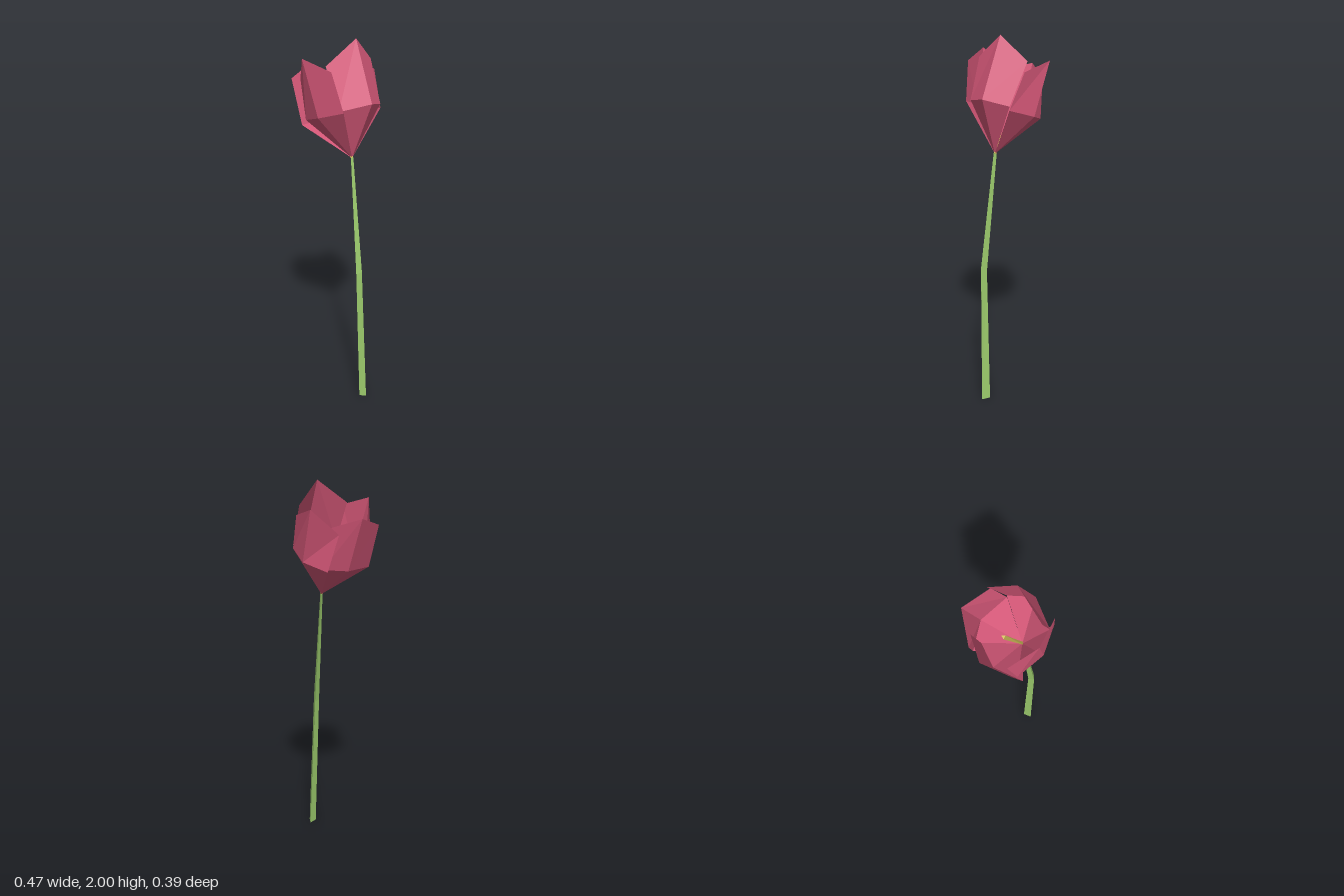
import * as THREE from 'three';

// Flat-shaded geometry from a list of polygons, each fanned into triangles
function facets(polygons) {
  const pos = [];
  for (const p of polygons) {
    for (let i = 1; i < p.length - 1; i++) pos.push(...p[0], ...p[i], ...p[i + 1]);
  }
  const g = new THREE.BufferGeometry();
  g.setAttribute('position', new THREE.Float32BufferAttribute(pos, 3));
  g.computeVertexNormals();
  return g;
}

// Three-sided rod lofted through triangular sections, capped at both ends
function triangularRod(sections) {
  const polygons = [[...sections[0]].reverse(), sections[sections.length - 1]];
  for (let s = 0; s < sections.length - 1; s++) {
    const lo = sections[s], hi = sections[s + 1];
    for (let i = 0; i < 3; i++) {
      const j = (i + 1) % 3;
      polygons.push([lo[i], lo[j], hi[j], hi[i]]);
    }
  }
  return facets(polygons);
}

const BASE = [0.1, 1.4, 0];

// Petal folded along its midline: base point, a bulging middle row, then shoulders and tip
function petalGeometry({ midA, mid, midB, upA, tip, upB }) {
  return facets([
    [BASE, mid, midA], [BASE, midB, mid],
    [midA, mid, tip, upA], [mid, midB, upB, tip],
  ]);
}

const PETALS = {
  rightPetal: {
    midA: [0.14, 1.67, 0.125], mid: [0.22, 1.7, -0.02], midB: [0.155, 1.67, -0.14],
    upA: [0.055, 1.88, 0.135], tip: [0.09, 2.0, -0.03], upB: [0.05, 1.88, -0.168],
  },
  frontPetal: {
    midA: [-0.11, 1.58, 0.13], mid: [0.035, 1.625, 0.17], midB: [0.175, 1.67, 0.125],
    upA: [-0.168, 1.78, 0.115], tip: [-0.05, 1.91, 0.197], upB: [0.12, 1.865, 0.155],
  },
  leftPetal: {
    midA: [-0.075, 1.565, -0.115], mid: [-0.135, 1.555, 0.005], midB: [-0.105, 1.56, 0.16],
    upA: [-0.14, 1.78, -0.115], tip: [-0.235, 1.825, 0.015], upB: [-0.19, 1.785, 0.155],
  },
  backPetal: {
    midA: [0.157, 1.65, -0.14], mid: [0.005, 1.6, -0.18], midB: [-0.13, 1.56, -0.12],
    upA: [0.075, 1.83, -0.17], tip: [-0.095, 1.87, -0.198], upB: [-0.185, 1.75, -0.09],
  },
};

export function createModel() {
  const flat = (name, color, side = THREE.FrontSide) => {
    const m = new THREE.MeshStandardMaterial({ color, side, flatShading: true });
    m.name = name;
    return m;
  };
  const petalPink = flat('petalPink', 0xd8597a, THREE.DoubleSide);
  const stemGreen = flat('stemGreen', 0x9ccb6c, THREE.DoubleSide);
  const pistilYellow = flat('pistilYellow', 0xd2be5a, THREE.DoubleSide);

  const model = new THREE.Group();
  model.name = 'tulip';
  const add = (parent, name, geometry, material) => {
    const mesh = new THREE.Mesh(geometry, material);
    mesh.name = name;
    parent.add(mesh);
  };

  // Stem: straight lower half, then leaning towards the bloom
  add(model, 'stem', triangularRod([
    [[0.2, 0, 0.021], [0.23, 0, -0.003], [0.187, 0, -0.026]],
    [[0.18, 0.77, 0.036], [0.202, 0.79, 0.016], [0.17, 0.765, 0.002]],
    [[0.1, 1.4, 0.008], [0.11, 1.405, 0], [0.094, 1.4, -0.007]],
  ]), stemGreen);

  // Bloom: four folded petals around a thin pistil
  const bloom = new THREE.Group();
  bloom.name = 'bloom';
  model.add(bloom);
  for (const [name, points] of Object.entries(PETALS)) {
    add(bloom, name, petalGeometry(points), petalPink);
  }
  add(bloom, 'pistil', triangularRod([
    [[0.098, 1.4, 0.008], [0.108, 1.405, 0], [0.098, 1.4, -0.008]],
    [[-0.06, 1.755, 0.01], [-0.043, 1.765, 0.008], [-0.053, 1.76, -0.008]],
  ]), pistilYellow);

  return model;
}
